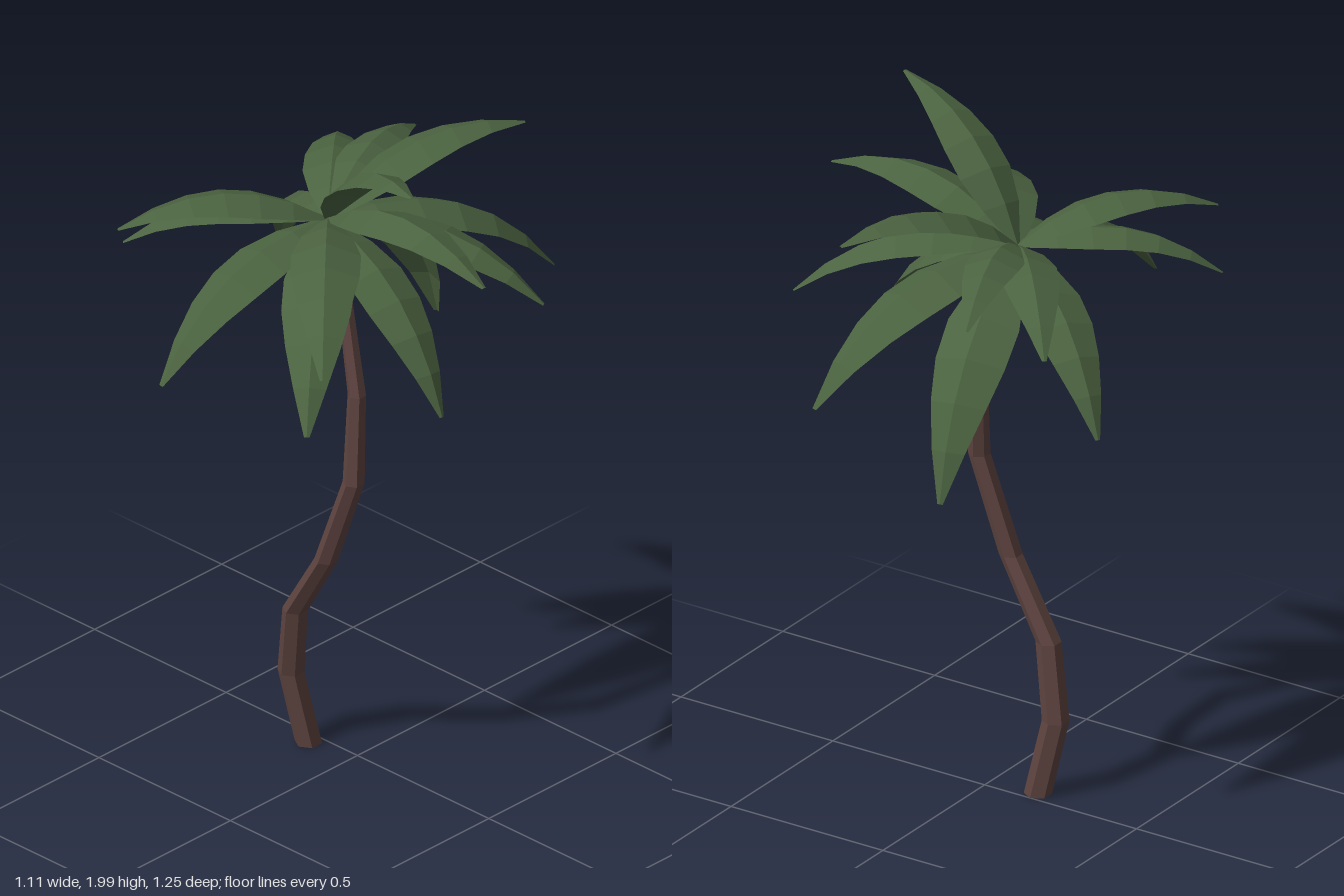
import * as THREE from 'three';

const CROWN = new THREE.Vector3(-0.1, 1.66, 0.013);
const UP = new THREE.Vector3(0, 1, 0);

// Trunk rings from the ground up: x, y, z, radius
const RINGS = [
  [-0.15, 0, 0.038, 0.039],
  [-0.19, 0.22, 0.065, 0.038],
  [-0.15, 0.44, 0.09, 0.036],
  [-0.01, 0.66, 0.113, 0.033],
  [0.09, 0.94, 0.108, 0.031],
  [0.075, 1.2, 0.08, 0.026],
  [-0.07, 1.655, 0.015, 0.018],
];

// Tip of each frond
const TIPS = [
  [0.145, 1.35, -0.625], [0.11, 1.82, -0.545], [-0.2, 1.11, -0.52],
  [-0.29, 1.66, -0.525], [-0.485, 1.585, -0.43], [-0.555, 1.3, -0.27],
  [-0.54, 1.555, 0.365], [-0.44, 1.685, 0.49], [-0.15, 1.36, 0.62],
  [0.3, 1.33, 0.51], [0.375, 1.545, 0.525], [0.39, 1.99, 0.19],
  [0.55, 1.72, 0.07], [0.41, 1.265, 0.09], [0.45, 1.49, -0.27],
];

// Half width of a frond at even steps from base to tip
const WIDTHS = [0.012, 0.065, 0.09, 0.088, 0.07, 0.042, 0.007];

// Hexagonal cylinder whose rows follow the crooked trunk
function trunkGeometry() {
  const rows = RINGS.length - 1;
  const geo = new THREE.CylinderGeometry(1, 1, 1, 6, rows);
  const pos = geo.attributes.position;
  for (let i = 0; i < pos.count; i++) {
    const [x, y, z, r] = RINGS[Math.round((pos.getY(i) + 0.5) * rows)];
    pos.setXYZ(i, x + pos.getX(i) * r, y, z + pos.getZ(i) * r);
  }
  geo.computeVertexNormals();
  return geo;
}

// Arched blade, folded down along its midrib
function frondGeometry(tip) {
  const chord = tip.clone().sub(CROWN);
  const length = chord.length();
  const side = chord.clone().cross(UP).normalize();
  const rise = side.clone().cross(chord).normalize();
  const control = CROWN.clone().lerp(tip, 0.5).addScaledVector(rise, 0.32 * length);
  const rib = new THREE.QuadraticBezierCurve3(CROWN, control, tip);
  const rows = WIDTHS.length - 1;
  const geo = new THREE.PlaneGeometry(2, 1, 2, rows);
  const pos = geo.attributes.position;
  for (let i = 0; i < pos.count; i++) {
    const u = pos.getX(i);
    const t = THREE.MathUtils.clamp(pos.getY(i) + 0.5, 0, 1);
    const w = WIDTHS[Math.round(t * rows)] * (length / 0.66);
    const normal = side.clone().cross(rib.getTangent(t));
    const p = rib.getPoint(t)
      .addScaledVector(side, u * w)
      .addScaledVector(normal, -Math.abs(u) * w * 0.4);
    pos.setXYZ(i, p.x, p.y, p.z);
  }
  geo.computeVertexNormals();
  return geo;
}

export function createModel() {
  const model = new THREE.Group();
  model.name = 'palmTree';

  const bark = new THREE.MeshStandardMaterial({ color: 0x5d433f, flatShading: true });
  const green = new THREE.MeshStandardMaterial({
    color: 0x4b6340, flatShading: true, side: THREE.DoubleSide,
  });

  const trunk = new THREE.Mesh(trunkGeometry(), bark);
  trunk.name = 'trunk';
  model.add(trunk);

  const fronds = new THREE.Group();
  fronds.name = 'fronds';
  TIPS.forEach((tip, i) => {
    const frond = new THREE.Mesh(frondGeometry(new THREE.Vector3(...tip)), green);
    frond.name = `frond${i + 1}`;
    fronds.add(frond);
  });
  model.add(fronds);

  return model;
}
